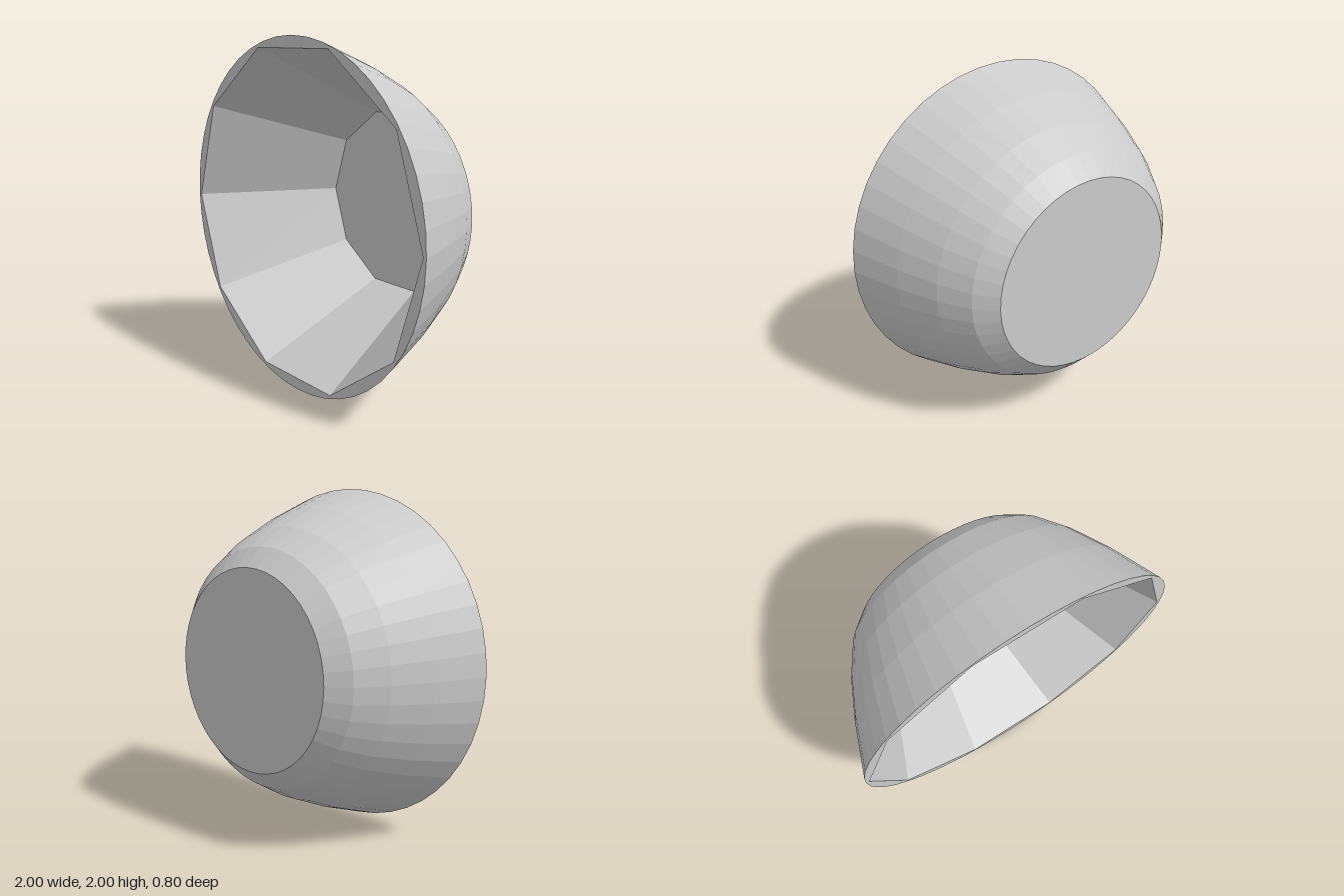
import * as THREE from 'three';

const SIDES = 48;  // round outside
const FACETS = 10; // ten-sided cavity
const RIM_Z = 0.4;

// Corners of a regular polygon with a corner on +x
const ring = (radius, count) => Array.from({ length: count }, (_, i) => {
  const a = (i / count) * Math.PI * 2;
  return new THREE.Vector2(radius * Math.cos(a), radius * Math.sin(a));
});

// Turned surface around the z axis from [radius, z] pairs
function turned(profile, segments) {
  const points = profile.map(([r, z]) => new THREE.Vector2(r, z));
  return new THREE.LatheGeometry(points, segments, Math.PI / 2).rotateX(Math.PI / 2);
}

export function createModel() {
  const group = new THREE.Group();
  group.name = 'bowl';
  const material = new THREE.MeshStandardMaterial({ color: 0xcccccc, flatShading: true });

  const add = (name, geometry) => {
    const mesh = new THREE.Mesh(geometry, material);
    mesh.name = name;
    mesh.position.y = 1;
    group.add(mesh);
  };

  // Curved outer wall with a flat base at the back
  add('outerShell', turned(
    [[0, -0.4], [0.57, -0.4], [0.68, -0.3], [0.785, -0.13], [0.89, 0.1], [1, RIM_Z]], SIDES));

  // Faceted cavity with a flat floor
  add('innerCavity', turned([[0.98, RIM_Z], [0.565, -0.38], [0, -0.38]], FACETS));

  // Flat rim between the round edge and the ten-sided opening
  const rim = new THREE.Shape(ring(1, SIDES));
  rim.holes.push(new THREE.Path(ring(0.98, FACETS).reverse()));
  add('rim', new THREE.ShapeGeometry(rim).translate(0, 0, RIM_Z));

  return group;
}
